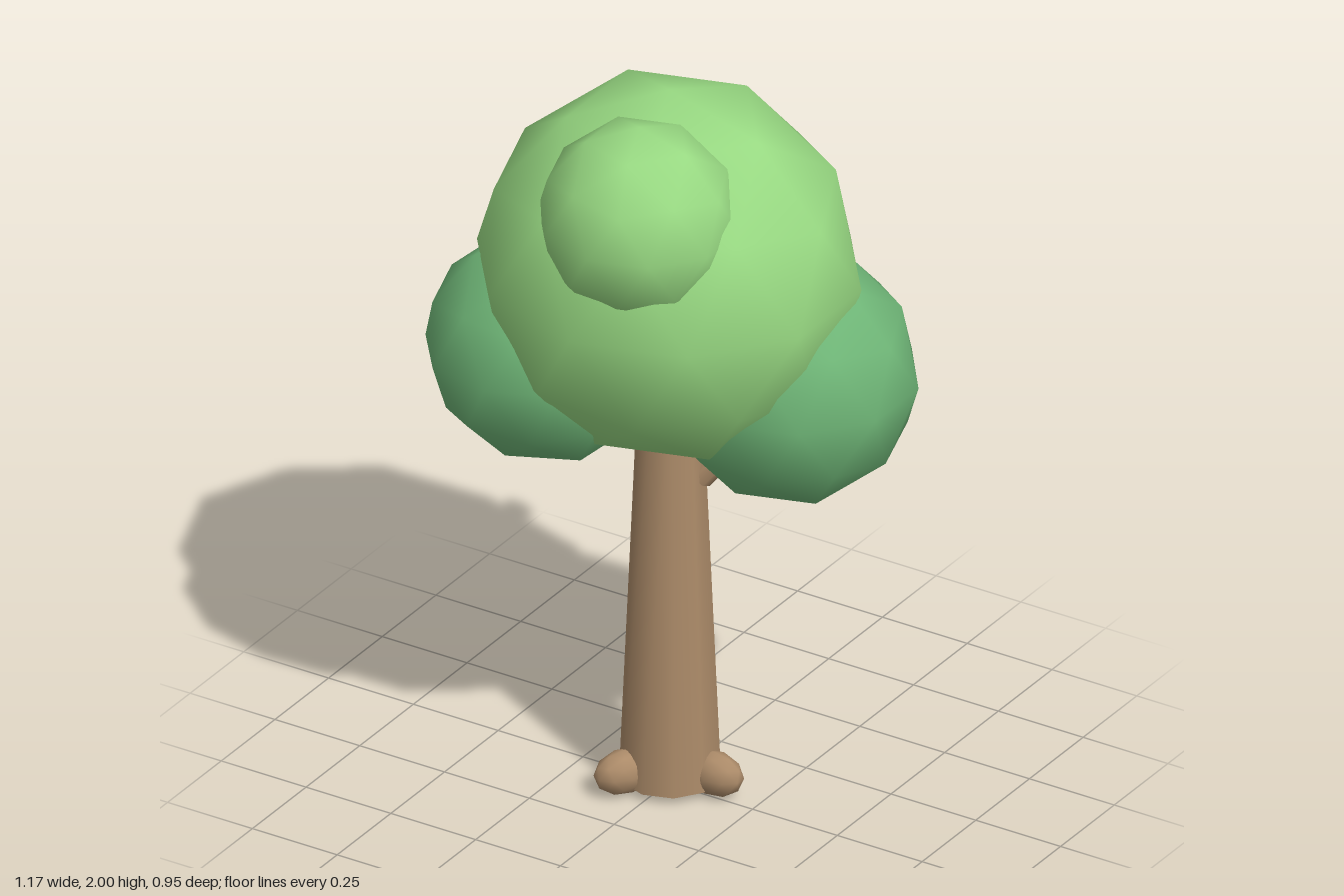
import * as THREE from 'three';

const leafLight = new THREE.MeshStandardMaterial({ color: 0x98d982 });
leafLight.name = 'light leaf green';
const leafDark = new THREE.MeshStandardMaterial({ color: 0x6fb677 });
leafDark.name = 'dark leaf green';
const bark = new THREE.MeshStandardMaterial({ color: 0xac8b69 });
bark.name = 'bark brown';
const red = new THREE.MeshStandardMaterial({ color: 0xde666e });
red.name = 'berry red';

// Smooth low-poly ball with one vertex straight up and a ten-sided equator
function ball(detail = 1) {
  const g = new THREE.IcosahedronGeometry(1, detail);
  g.rotateX(-Math.atan2((1 + Math.sqrt(5)) / 2, 1));
  g.rotateY(Math.PI / 2);
  return g;
}

function add(group, name, geometry, material, position, scale = [1, 1, 1]) {
  const mesh = new THREE.Mesh(geometry, material);
  mesh.name = name;
  mesh.position.set(...position);
  mesh.scale.set(...scale);
  group.add(mesh);
  return mesh;
}

export function createModel() {
  const tree = new THREE.Group();
  tree.name = 'tree';
  const cx = -0.002, cz = -0.015;

  // Tapered trunk, running up into the crown
  add(tree, 'trunk', new THREE.CylinderGeometry(0.08, 0.131, 1.172, 10), bark, [cx, 0.612, cz]);

  // Short side branch reaching into the lower foliage
  const from = new THREE.Vector3(0.07, 0.885, -0.038);
  const to = new THREE.Vector3(0.23, 1.09, -0.11);
  const dir = to.clone().sub(from);
  const mid = from.clone().add(to).multiplyScalar(0.5);
  const branch = add(tree, 'branch', new THREE.CylinderGeometry(0.028, 0.036, dir.length(), 7),
    bark, mid.toArray());
  branch.quaternion.setFromUnitVectors(new THREE.Vector3(0, 1, 0), dir.normalize());

  // Three root knobs spaced evenly around the base
  for (let i = 0; i < 3; i++) {
    const a = (i * Math.PI * 2) / 3;
    const root = add(tree, 'root' + (i + 1), ball(), bark,
      [cx + 0.13 * Math.cos(a), 0.065, cz + 0.13 * Math.sin(a)], [0.082, 0.06, 0.05]);
    root.rotation.y = -a;
  }

  // Foliage masses
  add(tree, 'mainCrown', ball(), leafLight, [-0.002, 1.48, -0.01], [0.5, 0.5, 0.467]);
  add(tree, 'topTuft', ball(), leafLight, [0.057, 1.737, 0.222], [0.262, 0.263, 0.249]);
  const rightFoliage = add(tree, 'rightFoliage', ball(), leafDark,
    [-0.283, 1.232, 0.113], [0.318, 0.304, 0.298]);
  rightFoliage.rotation.z = 0.08;
  add(tree, 'leftFoliage', ball(), leafDark, [0.266, 1.192, -0.143], [0.336, 0.338, 0.324]);

  // Berry pressed against the back of the crown
  const berry = add(tree, 'berry', ball(2), red, [0.137, 1.573, -0.444], [0.04, 0.04, 0.025]);
  berry.rotation.y = -0.25;

  return tree;
}
